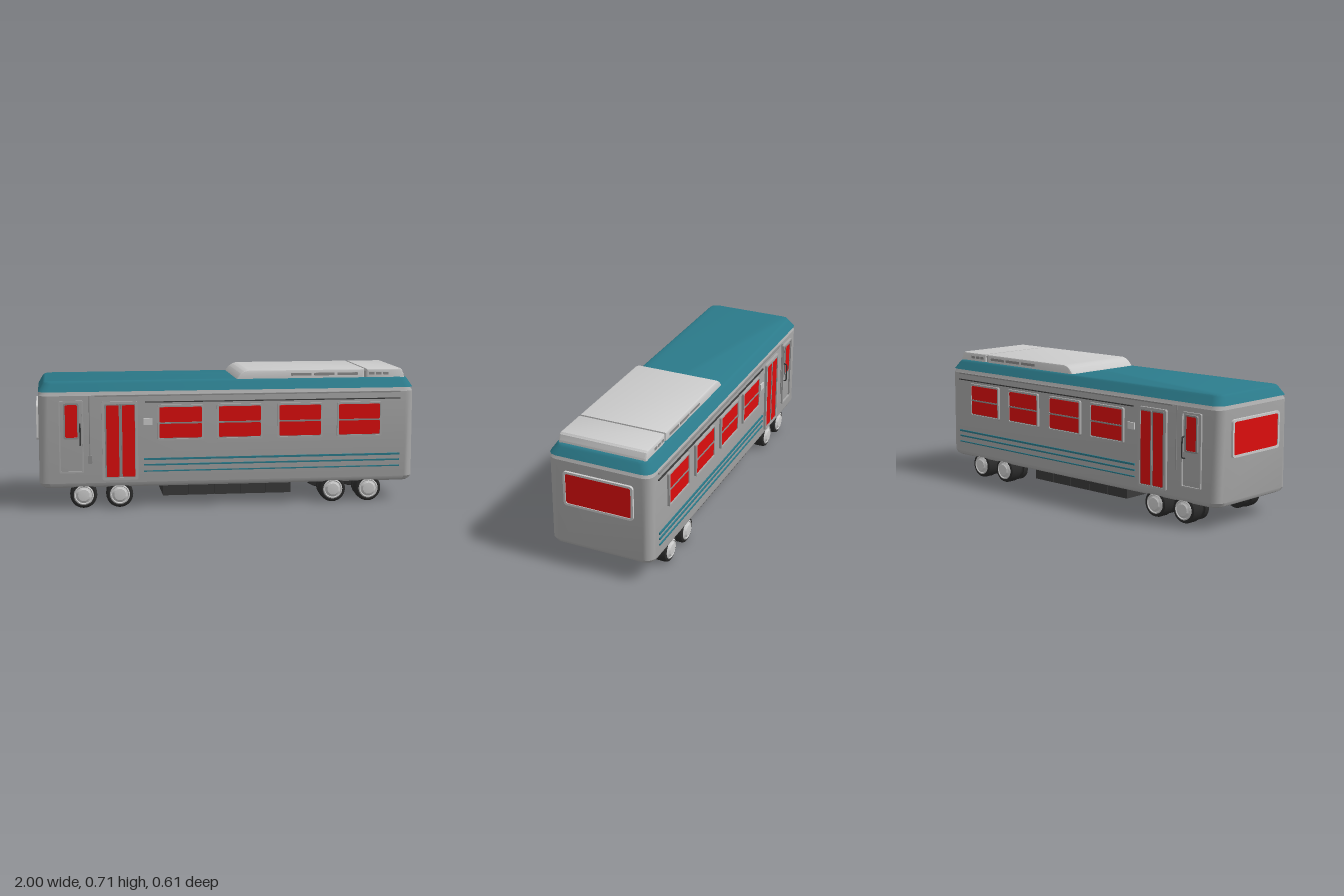
import * as THREE from 'three';
import { toCreasedNormals } from 'three/addons/utils/BufferGeometryUtils.js';

const material = (color) => new THREE.MeshStandardMaterial({ color });
const grey = material(0xcccccc);
const bodyGrey = material(0xa8a8a8);
const trimGrey = material(0x8c8c8c);
const teal = material(0x2b7a8a);
const red = material(0xdd0d0d);
const dark = material(0x3a3a3a);
const black = material(0x2b2b2b);

function add(parent, name, geometry, mat, x = 0, y = 0, z = 0) {
  const mesh = new THREE.Mesh(geometry, mat);
  mesh.name = name;
  mesh.position.set(x, y, z);
  parent.add(mesh);
  return mesh;
}

// Stack of horizontal rounded rectangles, each given as [y, halfX, halfZ, radius]
function loft(rings, steps = 4) {
  const positions = [], index = [], n = 4 * (steps + 1);
  for (const [y, hx, hz, r] of rings) {
    for (let c = 0; c < 4; c++) {
      const sx = c === 0 || c === 3 ? 1 : -1, sz = c < 2 ? 1 : -1;
      for (let i = 0; i <= steps; i++) {
        const a = (c + i / steps) * Math.PI / 2;
        positions.push(sx * (hx - r) + r * Math.cos(a), y, sz * (hz - r) + r * Math.sin(a));
      }
    }
  }
  for (let k = 0; k < rings.length - 1; k++) {
    for (let i = 0; i < n; i++) {
      const a = k * n + i, b = k * n + (i + 1) % n;
      index.push(a, a + n, b, b, a + n, b + n);
    }
  }
  const top = (rings.length - 1) * n;
  for (let i = 1; i < n - 1; i++) {
    index.push(0, i, i + 1, top, top + i + 1, top + i);
  }
  const g = new THREE.BufferGeometry();
  g.setAttribute('position', new THREE.Float32BufferAttribute(positions, 3));
  g.setIndex(index);
  return toCreasedNormals(g, 0.5);
}

function roundedRect(target, w, h, r) {
  const x = w / 2, y = h / 2;
  target.moveTo(-x + r, -y).lineTo(x - r, -y).absarc(x - r, -y + r, r, -Math.PI / 2, 0);
  target.lineTo(x, y - r).absarc(x - r, y - r, r, 0, Math.PI / 2);
  target.lineTo(-x + r, y).absarc(-x + r, y - r, r, Math.PI / 2, Math.PI);
  target.lineTo(-x, -y + r).absarc(-x + r, -y + r, r, Math.PI, Math.PI * 1.5);
  return target;
}

// Thin upright panel centred on its own depth; border > 0 turns it into a frame
function plate(w, h, depth, r, border = 0) {
  const shape = roundedRect(new THREE.Shape(), w, h, r);
  if (border) {
    shape.holes.push(roundedRect(new THREE.Path(), w - 2 * border, h - 2 * border, Math.max(r - border / 2, 0.003)));
  }
  return new THREE.ExtrudeGeometry(shape, { depth, bevelEnabled: false, curveSegments: 5 }).translate(0, 0, -depth / 2);
}

const box = (w, h, d) => new THREE.BoxGeometry(w, h, d);

function buildSide(s) {
  const side = new THREE.Group();
  side.name = s > 0 ? 'frontSide' : 'backSide';
  const put = (name, g, mat, x, y, z) => add(side, name, g, mat, x, y, s * z);

  // Crew door with window, grab handle and rod
  put('crewDoorFrame', plate(0.125, 0.375, 0.012, 0.008, 0.007), bodyGrey, -0.822, 0.378, 0.284);
  put('crewDoorWindowFrame', plate(0.078, 0.185, 0.012, 0.01, 0.008), trimGrey, -0.822, 0.46, 0.284);
  put('crewDoorWindow', plate(0.064, 0.17, 0.01, 0.005), red, -0.822, 0.46, 0.283);
  const handle = new THREE.CatmullRomCurve3([
    [0.335, 0.28], [0.34, 0.3], [0.36, 0.302], [0.42, 0.302], [0.44, 0.3], [0.445, 0.28],
  ].map(([y, z]) => new THREE.Vector3(-0.777, y, s * z)));
  put('grabHandle', new THREE.TubeGeometry(handle, 20, 0.004, 6), dark, 0, 0, 0);
  put('rod', new THREE.CylinderGeometry(0.003, 0.003, 0.32, 6), trimGrey, -0.728, 0.43, 0.287);
  if (s > 0) put('rodBox', plate(0.022, 0.04, 0.02, 0.004), trimGrey, -0.728, 0.26, 0.291);

  // Double passenger door
  put('doorFrame', plate(0.185, 0.41, 0.018, 0.01, 0.014), bodyGrey, -0.572, 0.355, 0.284);
  put('doorRecess', box(0.17, 0.39, 0.008), trimGrey, -0.572, 0.355, 0.28);
  for (const x of [-0.61, -0.528]) {
    put('doorLeafFrame', plate(0.077, 0.385, 0.014, 0.008, 0.006), trimGrey, x, 0.353, 0.283);
    put('doorLeaf', plate(0.066, 0.375, 0.012, 0.006), red, x, 0.353, 0.283);
  }
  put('doorPanel', box(0.045, 0.035, 0.008), grey, -0.427, 0.452, 0.284);

  // Split side windows
  for (const x of [-0.257, 0.052, 0.372, 0.69]) {
    put('windowFrame', plate(0.24, 0.185, 0.014, 0.01, 0.009), bodyGrey, x, 0.445, 0.285);
    put('windowBacking', box(0.225, 0.17, 0.006), trimGrey, x, 0.445, 0.281);
    for (const y of [0.486, 0.402]) {
      put('windowPane', plate(0.222, y > 0.45 ? 0.078 : 0.074, 0.01, 0.008), red, x, y, 0.282);
    }
    put('windowBar', box(0.226, 0.008, 0.012), trimGrey, x, 0.443, 0.284);
  }

  // Stripes and rails
  for (const [y, h] of [[0.255, 0.01], [0.225, 0.008], [0.192, 0.006]]) {
    put('stripe', box(1.36, h, 0.008), teal, 0.23, y, 0.283);
  }
  put('upperTrim', box(1.35, 0.005, 0.008), dark, 0.235, 0.553, 0.282);
  put('rainRail', box(1.61, 0.007, 0.012), trimGrey, 0.105, 0.588, 0.28);
  return side;
}

function buildWheel(s) {
  const wheel = new THREE.Group();
  wheel.name = 'wheel';
  const lathe = (name, points, mat) => {
    const g = new THREE.LatheGeometry(points.map(([r, z]) => new THREE.Vector2(r, z)), 28);
    add(wheel, name, toCreasedNormals(g, 0.6), mat);
  };
  lathe('tyre', [[0, 0.2], [0.06, 0.2], [0.068, 0.204], [0.07, 0.212], [0.07, 0.255],
    [0.066, 0.266], [0.058, 0.27], [0.05, 0.268], [0, 0.266]], black);
  lathe('innerTyre', [[0, 0.145], [0.063, 0.145], [0.066, 0.15], [0.066, 0.178], [0.056, 0.18], [0.056, 0.202], [0, 0.202]], black);
  lathe('hub', [[0.052, 0.262], [0.052, 0.27], [0.046, 0.274], [0.042, 0.27], [0.036, 0.272],
    [0.03, 0.278], [0, 0.281]], grey);
  wheel.rotation.x = s * Math.PI / 2;
  return wheel;
}

// Rooftop unit section, extruded across the roof from a side profile
function roofUnit(points) {
  const bevel = 0.01;
  const shape = new THREE.Shape(points.map(([x, y]) => new THREE.Vector2(x, y)));
  const g = new THREE.ExtrudeGeometry(shape, {
    depth: 0.45, bevelThickness: bevel, bevelSize: bevel, bevelOffset: -bevel, bevelSegments: 2,
  });
  return toCreasedNormals(g.translate(0, 0, -0.225), 0.4);
}

export function createModel() {
  const model = new THREE.Group();
  model.name = 'railCar';

  // Body shell and roof
  add(model, 'body', loft([
    [0.11, 0.965, 0.262, 0.045], [0.118, 0.98, 0.273, 0.05], [0.135, 0.988, 0.281, 0.05],
    [0.59, 0.988, 0.278, 0.05], [0.6, 0.982, 0.272, 0.05], [0.615, 0.975, 0.265, 0.05],
  ]), bodyGrey);
  add(model, 'roof', loft([
    [0.61, 0.988, 0.278, 0.05], [0.648, 0.966, 0.252, 0.045], [0.657, 0.959, 0.245, 0.042], [0.661, 0.95, 0.236, 0.04],
  ], 3), teal);

  // Rooftop unit in two sections with a dark joint and side vents
  add(model, 'roofUnitMain', roofUnit([[0.037, 0.645], [0.725, 0.645], [0.725, 0.706], [0.105, 0.706],
    [0.083, 0.7], [0.065, 0.688], [0.045, 0.666]]), grey);
  add(model, 'roofUnitRear', roofUnit([[0.737, 0.645], [0.945, 0.645], [0.942, 0.672], [0.932, 0.698],
    [0.922, 0.706], [0.737, 0.706]]), grey);
  add(model, 'roofUnitJoint', box(0.03, 0.045, 0.45), trimGrey, 0.731, 0.674);
  for (const s of [1, -1]) {
    for (const [x, w] of [[0.385, 0.11], [0.51, 0.11], [0.635, 0.11], [0.765, 0.03], [0.803, 0.03], [0.842, 0.03]]) {
      add(model, 'vent', plate(w, 0.014, 0.004, 0.004), trimGrey, x, 0.681, s * 0.2345);
    }
    model.add(buildSide(s));
  }

  // End windows
  for (const s of [1, -1]) {
    const end = new THREE.Group();
    end.name = 'endWindow';
    add(end, 'endWindowFrame', plate(0.376, 0.188, 0.024, 0.018, 0.012), grey, 0, 0.445, 0.988);
    add(end, 'endWindowPane', plate(0.354, 0.165, 0.016, 0.016), red, 0, 0.445, 0.988);
    end.rotation.y = s * Math.PI / 2;
    model.add(end);
  }

  // Axles and wheels
  for (const x of [-0.762, -0.575, 0.555, 0.748]) {
    add(model, 'axle', new THREE.CylinderGeometry(0.01, 0.01, 0.32, 12), grey, x, 0.07).rotation.x = Math.PI / 2;
    for (const s of [1, -1]) {
      const wheel = buildWheel(s);
      wheel.position.set(x, 0.07, 0);
      model.add(wheel);
    }
  }

  // Two rows of equipment boxes under the floor
  for (const s of [1, -1]) {
    for (let i = 0; i < 5; i++) {
      add(model, 'equipmentBox', box(0.134, 0.07, 0.215), dark, -0.28 + i * 0.137, 0.085, s * 0.122);
    }
  }
  return model;
}
